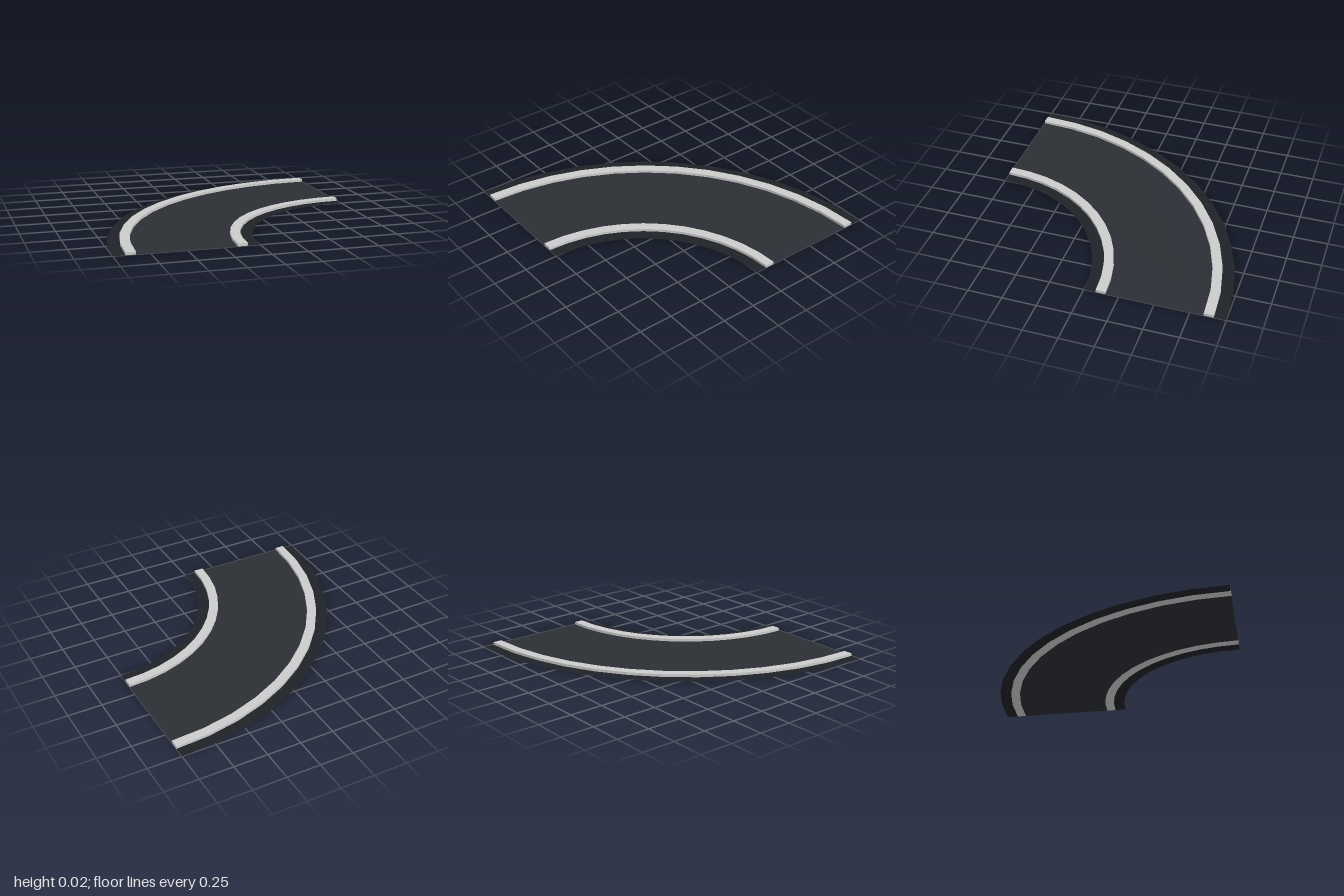
import * as THREE from 'three';

const SEGMENTS = 12;

// Quarter-ring outline around the bend's centre, in plan.
function ringShape(inner, outer) {
  const points = [];
  const add = (r, i) => {
    const a = Math.PI / 2 + (i / SEGMENTS) * (Math.PI / 2);
    points.push(new THREE.Vector2(r * Math.cos(a), r * Math.sin(a)));
  };
  for (let i = 0; i <= SEGMENTS; i++) add(outer, i);
  for (let i = SEGMENTS; i >= 0; i--) add(inner, i);
  return new THREE.Shape(points);
}

// Lays a plan geometry flat and moves the bend's centre to the corner (1, 1).
const lay = (geometry) => geometry.rotateX(-Math.PI / 2).translate(1, 0, 1);

export function createModel() {
  const group = new THREE.Group();
  group.name = 'curvedRoad';

  const flat = (color) =>
    new THREE.MeshStandardMaterial({ color, flatShading: true, side: THREE.DoubleSide });
  const asphalt = flat(0x2b2e34);
  const verge = flat(0x1e2227);
  const kerb = flat(0xcccccc);

  const add = (name, geometry, material) => {
    const mesh = new THREE.Mesh(lay(geometry), material);
    mesh.name = name;
    group.add(mesh);
  };
  const sheet = (inner, outer) => new THREE.ShapeGeometry(ringShape(inner, outer));
  const slab = (inner, outer) =>
    new THREE.ExtrudeGeometry(ringShape(inner, outer), { depth: 0.02, bevelEnabled: false });

  // Thin flat surfaces
  add('innerVerge', sheet(1, 1.085), verge);
  add('roadSurface', sheet(1.155, 1.845), asphalt);
  add('outerVerge', sheet(1.915, 2), verge);

  // Raised kerbs
  add('innerKerb', slab(1.085, 1.155), kerb);
  add('outerKerb', slab(1.845, 1.915), kerb);

  return group;
}
